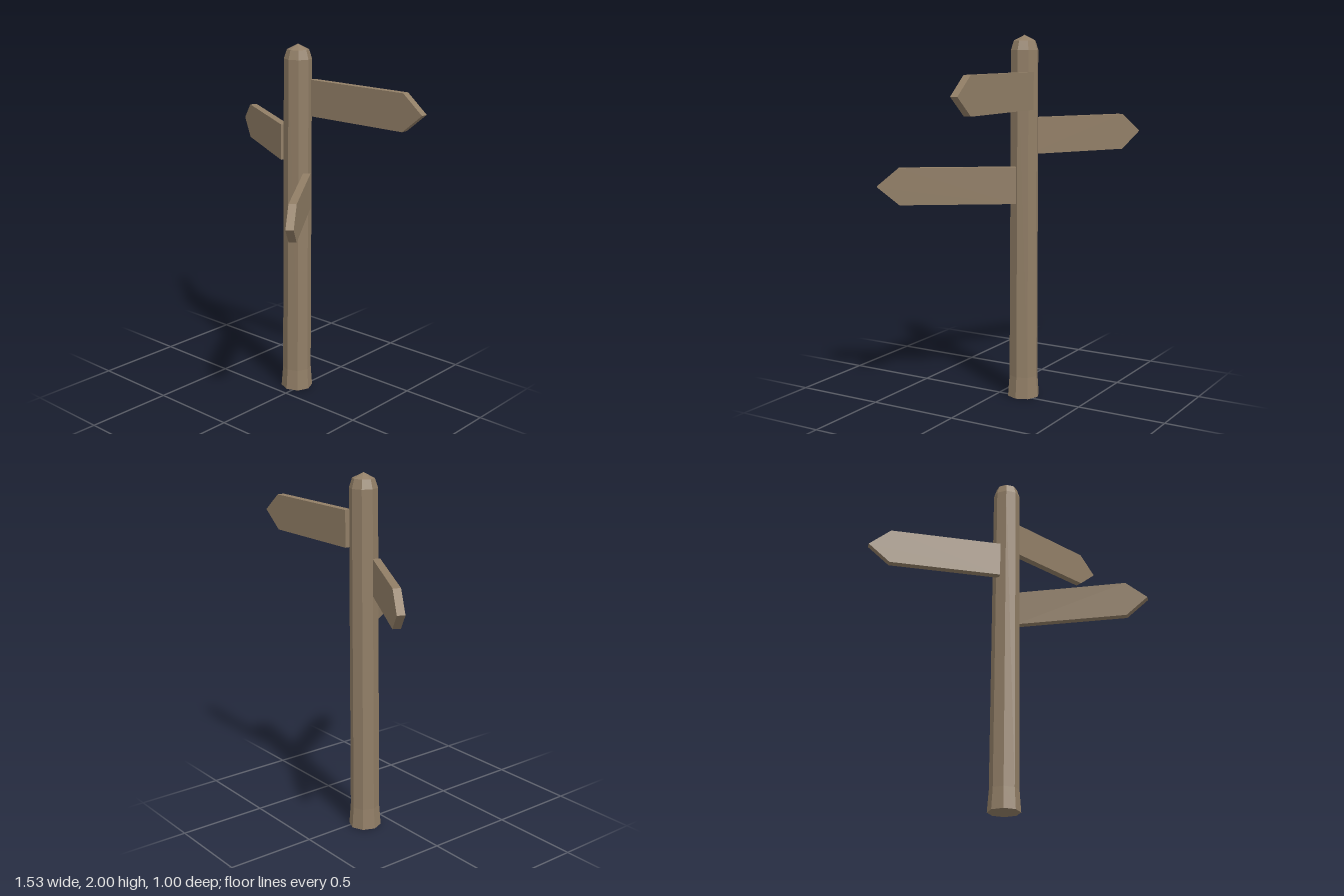
import * as THREE from 'three';

export function createModel() {
  const group = new THREE.Group();
  group.name = 'signpost';
  const wood = new THREE.MeshStandardMaterial({ color: 0x917e66, flatShading: true });
  wood.name = 'weathered wood';

  // Octagonal post with a flared foot and a faceted cap
  const profile = [[0, 0], [0.09, 0], [0.081, 0.12], [0.076, 1.92], [0.06, 1.97], [0, 2]];
  const post = new THREE.Mesh(
    new THREE.LatheGeometry(profile.map(([r, y]) => new THREE.Vector2(r, y)), 8), wood);
  post.name = 'post';
  post.position.set(-0.035, 0, -0.135);
  group.add(post);

  // Pointed board, running along +x from its inner end
  const length = 0.747, tip = 0.12, half = 0.1, thick = 0.041;
  const outline = new THREE.Shape([
    [0, -half], [length - tip, -half], [length, 0], [length - tip, half], [0, half],
  ].map(([x, y]) => new THREE.Vector2(x, y)));
  const boardGeometry = new THREE.ExtrudeGeometry(outline, { depth: thick, bevelEnabled: false });
  boardGeometry.translate(0, 0, -thick / 2);

  // Three boards: inner end position and heading in degrees
  const boards = [
    ['upperBoard', 0.014, 1.705, -0.198, 0],
    ['middleBoard', -0.11, 1.453, -0.11, 150],
    ['lowerBoard', 0.042, 1.197, -0.126, -55],
  ];
  for (const [name, x, y, z, heading] of boards) {
    const board = new THREE.Mesh(boardGeometry, wood);
    board.name = name;
    board.position.set(x, y, z);
    board.rotation.y = THREE.MathUtils.degToRad(heading);
    group.add(board);
  }
  return group;
}
